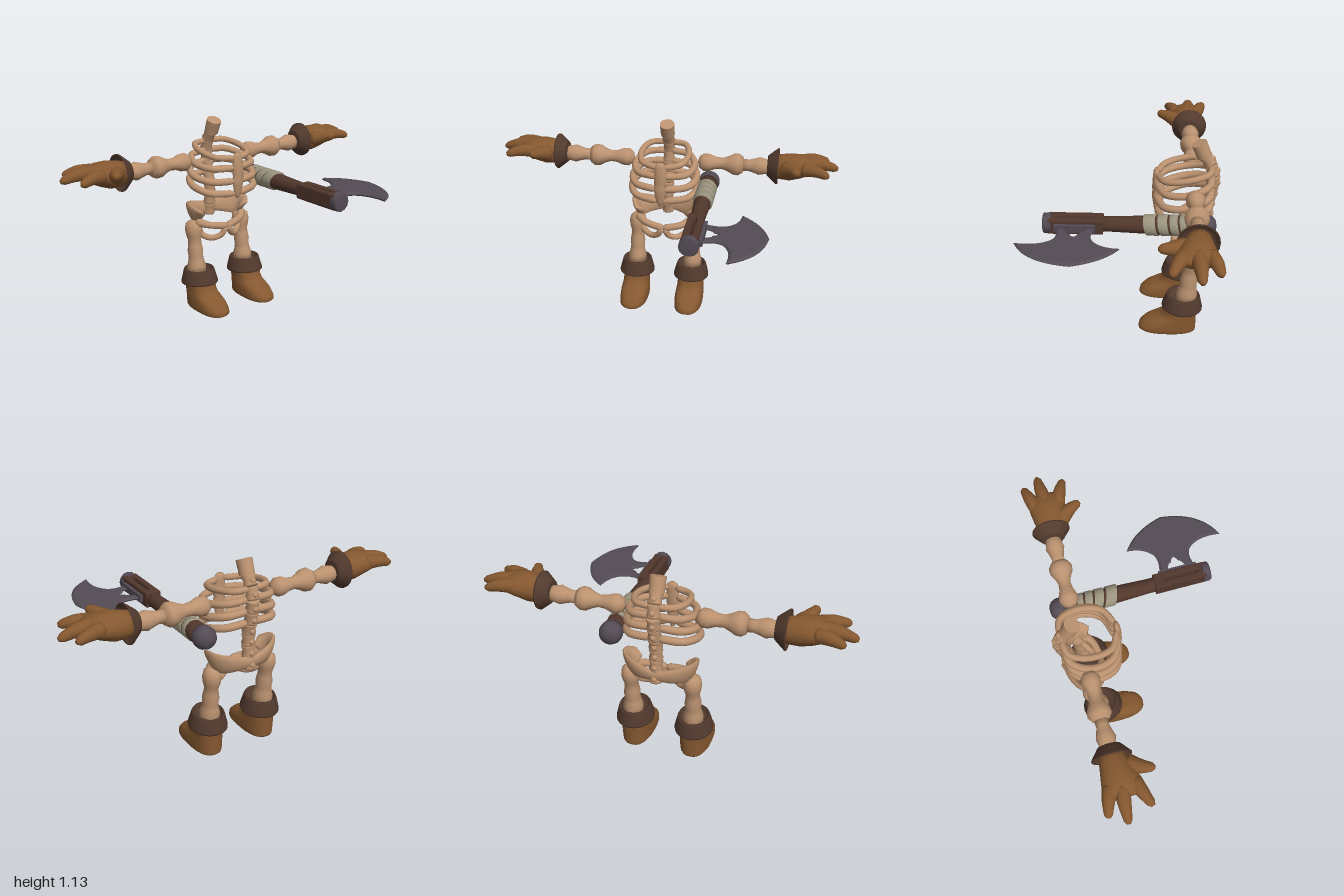
import * as THREE from 'three';

const mat = (name, color) => Object.assign(new THREE.MeshStandardMaterial({ color }), { name });
const BONE = mat('bone', 0xbb9270), LEATHER = mat('leather', 0x855830), CUFF = mat('darkLeather', 0x523a2e);
const WOOD = mat('wood', 0x51372c), WRAP = mat('wrap', 0x9b947f), METAL = mat('metal', 0x544b55);
const V = (x, y, z) => new THREE.Vector3(x, y, z);

// Skin a list of point rings, each counter-clockwise about the direction of travel
function loft(rings) {
  const n = rings[0].length, pos = [], idx = [];
  rings.forEach(r => r.forEach(p => pos.push(p.x, p.y, p.z)));
  for (let i = 0; i < rings.length - 1; i++) for (let j = 0; j < n; j++) {
    const k = (j + 1) % n, a = i * n + j, b = i * n + k;
    idx.push(a, b, a + n, b, b + n, a + n);
  }
  [0, rings.length - 1].forEach((ri, end) => {
    const c = pos.length / 3;
    const m = rings[ri].reduce((s, p) => s.add(p), V(0, 0, 0)).divideScalar(n);
    pos.push(m.x, m.y, m.z);
    for (let j = 0; j < n; j++) {
      const a = ri * n + j, b = ri * n + (j + 1) % n;
      end ? idx.push(a, b, c) : idx.push(b, a, c);
    }
  });
  const g = new THREE.BufferGeometry();
  g.setAttribute('position', new THREE.Float32BufferAttribute(pos, 3));
  g.setIndex(idx);
  g.computeVertexNormals();
  return g;
}

// Round tube with changing radius; each point is [x, y, z, radius]
function limb(pts, steps = 14, sides = 10, closed = false) {
  const curve = new THREE.CatmullRomCurve3(pts.map(p => V(p[0], p[1], p[2])));
  const rings = [];
  for (let i = 0; i <= steps; i++) {
    const t = i / steps, f = t * (pts.length - 1), k = Math.min(Math.floor(f), pts.length - 2);
    let r = THREE.MathUtils.lerp(pts[k][3], pts[k + 1][3], f - k);
    if (i === 0 || i === steps) r *= 0.55;
    const c = curve.getPoint(t), T = curve.getTangent(t);
    const N = V(0, 1, 0).addScaledVector(T, -T.y).normalize(), B = T.clone().cross(N);
    rings.push(Array.from({ length: sides }, (_, j) => {
      const a = j / sides * Math.PI * 2;
      return c.clone().addScaledVector(N, Math.cos(a) * r).addScaledVector(B, Math.sin(a) * r);
    }));
  }
  return loft(rings);
}

const lathe = (pts, sides = 18) => new THREE.LatheGeometry(pts.map(p => new THREE.Vector2(p[0], p[1])), sides);
const alongX = g => g.rotateZ(-Math.PI / 2);
const alongZ = g => g.rotateX(Math.PI / 2);

function mirror(g) {
  const m = (g.index ? g.toNonIndexed() : g.clone()).scale(-1, 1, 1);
  for (const a of Object.values(m.attributes)) {
    for (let i = 0; i < a.count; i += 3) for (let c = 0; c < a.itemSize; c++) {
      const t = a.getComponent(i, c);
      a.setComponent(i, c, a.getComponent(i + 1, c));
      a.setComponent(i + 1, c, t);
    }
  }
  // scale() already flips the normals' x through the normal matrix
  return m;
}

export function createModel() {
  const model = new THREE.Group();
  const add = (name, geo, material, parent = model) => {
    const m = new THREE.Mesh(geo, material);
    m.name = name;
    parent.add(m);
    return m;
  };
  const pair = (name, geo, material) => {
    add(name + 'Left', geo, material);
    add(name + 'Right', mirror(geo), material);
  };

  // Spine: one waisted vertebra per step, each with a rear knob
  const spine = new THREE.CatmullRomCurve3([V(0, 0.52, -0.495), V(0, 0.62, -0.482), V(0, 0.72, -0.48),
    V(0, 0.82, -0.497), V(0, 0.92, -0.505), V(0, 0.99, -0.483), V(0, 1.04, -0.453)]);
  for (let i = 0; i < 8; i++) {
    const t = (i + 0.5) / 8, g = new THREE.Group();
    g.name = 'vertebra';
    g.position.copy(spine.getPointAt(t));
    g.quaternion.setFromUnitVectors(V(0, 1, 0), spine.getTangentAt(t));
    add('vertebraBody', lathe([[0, -0.036], [0.034, -0.034], [0.038, -0.024], [0.031, 0], [0.038, 0.024], [0.034, 0.034], [0, 0.036]], 14), BONE, g);
    add('vertebraKnob', new THREE.SphereGeometry(0.017, 10, 8).translate(0, -0.008, -0.027), BONE, g);
    model.add(g);
  }
  const neck = add('neck', new THREE.CylinderGeometry(0.043, 0.041, 0.08, 18), BONE);
  neck.position.set(0, 1.073, -0.435);
  neck.rotation.x = 0.4;

  // Ribs: [side x, back y, side y, front y, front z, tube radius]
  [[0.14, 0.975, 0.955, 0.925, -0.2, 0.018], [0.175, 0.92, 0.885, 0.87, -0.195, 0.02],
    [0.19, 0.855, 0.815, 0.79, -0.195, 0.021], [0.195, 0.79, 0.755, 0.715, -0.2, 0.021]]
    .forEach(([x, yb, ys, yf, zf, r]) => pair('rib', limb([
      [0.015, yb, -0.495, r], [x * 0.72, (yb + ys) / 2 + 0.008, -0.475, r], [x, ys, -0.37, r],
      [x * 0.8, (ys + yf) / 2 - 0.008, -0.25, r], [0.02, yf, zf, r]], 20), BONE));
  add('sternum', limb([[0, 0.955, -0.2, 0.03], [0.001, 0.88, -0.194, 0.036], [0, 0.78, -0.194, 0.036], [0.001, 0.685, -0.205, 0.018]])
    .translate(0, 0, 0.194).scale(1, 1, 0.55).translate(0, 0, -0.194), BONE);

  // Pelvis: a curved, flared band, open at the front
  const band = [];
  for (let i = 0; i <= 28; i++) {
    const u = i / 14 - 1, a = u * 2.15, s = Math.abs(u), e = Math.max(0, s - 0.6) / 0.4;
    const side = Math.sin(Math.min(1, s * 1.25) * Math.PI / 2);
    const top = V(Math.sin(a) * 0.2, 0.59 + 0.048 * side - 0.04 * e * e, -0.41 - Math.cos(a) * (u * u > 0.5 ? 0.14 : 0.1));
    top.z = Math.min(top.z, -0.305);
    const low = V(Math.sin(a) * 0.155, 0.535 - 0.03 * side + 0.06 * e * e, -0.405 - Math.cos(a) * 0.095);
    const mid = top.clone().add(low).multiplyScalar(0.5), half = top.clone().sub(low).multiplyScalar(0.5);
    const inward = V(-Math.sin(a), 0, Math.cos(a));
    band.push(Array.from({ length: 12 }, (_, j) => {
      const q = j / 12 * Math.PI * 2;
      return mid.clone().addScaledVector(half, Math.cos(q) * 1.1).addScaledVector(inward, Math.sin(q) * 0.02);
    }));
  }
  add('pelvis', loft(band), BONE);
  pair('pubicBar', limb([[0.17, 0.525, -0.385, 0.028], [0.11, 0.505, -0.33, 0.021], [0, 0.485, -0.305, 0.022]]), BONE);
  pair('pubicLoop', limb([[0.01, 0.485, -0.302, 0.02], [0.035, 0.435, -0.315, 0.018], [0.085, 0.415, -0.345, 0.018],
    [0.135, 0.44, -0.38, 0.02], [0.16, 0.51, -0.4, 0.024]], 18), BONE);

  // Legs
  pair('leg', lathe([[0, 0.19], [0.058, 0.2], [0.06, 0.25], [0.05, 0.285], [0.046, 0.31], [0.05, 0.345], [0.044, 0.38],
    [0.041, 0.41], [0.05, 0.44], [0.056, 0.475], [0.05, 0.51], [0.03, 0.528], [0, 0.533]])
    .scale(0.92, 1, 1).rotateX(-0.09).translate(0.175, 0, -0.362), BONE);

  // Boots: stacked rings whose front edge draws back with height [y, front z, half width]
  const boot = [[0, -0.118, 0.078], [0.008, -0.11, 0.085], [0.03, -0.115, 0.086], [0.06, -0.145, 0.085], [0.082, -0.19, 0.083],
    [0.1, -0.23, 0.08], [0.125, -0.252, 0.08], [0.16, -0.264, 0.083], [0.2, -0.27, 0.083]].map(([y, zf, w]) =>
    Array.from({ length: 28 }, (_, j) => {
      const a = j / 28 * Math.PI * 2, p = v => Math.sign(v) * Math.abs(v) ** 0.8;
      return V(0.172 + w * p(Math.sin(a)), y, (zf - 0.444) / 2 + (zf + 0.444) / 2 * p(Math.cos(a)));
    }));
  pair('boot', loft(boot), LEATHER);
  pair('bootCuff', lathe([[0.08, 0.148], [0.108, 0.154], [0.108, 0.162], [0.09, 0.232], [0.086, 0.24], [0.076, 0.238], [0.07, 0.205], [0, 0.205]], 24)
    .scale(1, 1, 1.08).rotateX(-0.06).translate(0.172, 0, -0.35), CUFF);

  // Arms
  const arm = pts => alongX(lathe(pts.map(([x, r]) => [r, x]))).translate(0, 0.897, -0.4);
  pair('upperArm', arm([[0.19, 0], [0.198, 0.032], [0.225, 0.052], [0.26, 0.05], [0.295, 0.037], [0.335, 0.033], [0.37, 0.046],
    [0.4, 0.062], [0.43, 0.064], [0.455, 0.048], [0.465, 0]]), BONE);
  pair('forearm', arm([[0.445, 0], [0.455, 0.036], [0.49, 0.034], [0.52, 0.042], [0.55, 0.052], [0.58, 0.046], [0.62, 0.04], [0.64, 0]]), BONE);

  // Gloves: flared cuff, palm and four digits
  pair('gloveCuff', alongX(lathe([[0, 0.597], [0.058, 0.598], [0.066, 0.606], [0.105, 0.654], [0.104, 0.662], [0.097, 0.66], [0.075, 0.63], [0, 0.63]], 24))
    .translate(0, 0.905, -0.397), CUFF);
  const palm = [[0.62, 0.06, 0.062, 0.905, -0.4], [0.67, 0.072, 0.072, 0.905, -0.395], [0.73, 0.077, 0.088, 0.91, -0.388],
    [0.79, 0.064, 0.1, 0.92, -0.385], [0.84, 0.046, 0.1, 0.927, -0.385], [0.87, 0.022, 0.082, 0.928, -0.385]].map(([x, h, w, y, z]) =>
    Array.from({ length: 18 }, (_, j) => {
      const a = j / 18 * Math.PI * 2;
      return V(x, y + h * Math.cos(a), z + w * Math.sin(a));
    }));
  pair('palm', loft(palm), LEATHER);
  [['backFinger', [0.79, 0.93, -0.44, 0.042], [0.87, 0.935, -0.468, 0.034], [0.945, 0.92, -0.488, 0.02]],
    ['middleFinger', [0.8, 0.935, -0.385, 0.045], [0.9, 0.935, -0.395, 0.036], [0.998, 0.912, -0.4, 0.02]],
    ['frontFinger', [0.79, 0.925, -0.325, 0.042], [0.87, 0.93, -0.295, 0.034], [0.945, 0.915, -0.262, 0.02]],
    ['thumb', [0.7, 0.91, -0.34, 0.05], [0.745, 0.93, -0.27, 0.036], [0.77, 0.942, -0.205, 0.02]]]
    .forEach(([name, ...pts]) => pair(name, limb(pts, 10), LEATHER));

  // Axe: handle lies along z
  const axe = new THREE.Group();
  axe.name = 'axe';
  axe.position.set(0.255, 0.752, 0);
  model.add(axe);
  add('handle', alongZ(lathe([[0, -0.43], [0.055, -0.43], [0.055, -0.36], [0.051, -0.2], [0.045, -0.05], [0.041, 0.05], [0.042, 0.12], [0, 0.12]], 14)), WOOD, axe);

  // Slotted end of the handle
  const rect = (S, x, a, b) => new S([[-x, a], [x, a], [x, b], [-x, b]].map(p => new THREE.Vector2(...p)));
  const fork = rect(THREE.Shape, 0.037, 0.09, 0.37);
  fork.holes.push(new THREE.Path([[-0.006, 0.125], [0.006, 0.125], [0.016, 0.15], [0.016, 0.325], [0.006, 0.345], [-0.006, 0.345], [-0.016, 0.325], [-0.016, 0.15]]
    .map(p => new THREE.Vector2(...p))));
  add('handleFork', new THREE.ExtrudeGeometry(fork, { depth: 0.066, bevelSize: 0.008, bevelThickness: 0.012, bevelSegments: 2 })
    .rotateX(Math.PI / 2).translate(0, 0.033, 0), WOOD, axe);
  add('endCollar', alongZ(lathe([[0, 0.358], [0.05, 0.358], [0.055, 0.364], [0.055, 0.396], [0.049, 0.403], [0, 0.403]], 12)), METAL, axe);
  add('pommel', alongZ(lathe([[0, -0.517], [0.03, -0.512], [0.05, -0.497], [0.062, -0.472], [0.063, -0.445], [0.056, -0.422], [0, -0.42]])), METAL, axe);

  // Slanted grip bands
  [[-0.205, -0.145], [-0.27, -0.22], [-0.325, -0.283], [-0.37, -0.337]].forEach(([a, b]) => {
    const g = alongZ(lathe([[0.045, a], [0.059, a], [0.058, b], [0.045, b]], 18)), p = g.attributes.position;
    for (let i = 0; i < p.count; i++) p.setZ(i, p.getZ(i) + 0.25 * p.getY(i) + 0.18 * p.getX(i));
    g.computeVertexNormals();
    add('gripBand', g, WRAP, axe);
  });

  // Blade with two prongs, in the x-z plane
  const blade = new THREE.Shape();
  blade.moveTo(0.06, 0.13);
  blade.quadraticCurveTo(0.14, 0.155, 0.18, 0.125);
  blade.quadraticCurveTo(0.235, 0.08, 0.24, -0.012);
  blade.quadraticCurveTo(0.355, 0.06, 0.4, 0.23);
  blade.quadraticCurveTo(0.375, 0.46, 0.205, 0.53);
  blade.quadraticCurveTo(0.225, 0.4, 0.165, 0.34);
  blade.quadraticCurveTo(0.13, 0.31, 0.06, 0.335);
  blade.lineTo(0.06, 0.285);
  blade.quadraticCurveTo(0.105, 0.275, 0.105, 0.255);
  blade.quadraticCurveTo(0.165, 0.232, 0.105, 0.21);
  blade.quadraticCurveTo(0.105, 0.19, 0.06, 0.18);
  blade.closePath();
  add('blade', new THREE.ExtrudeGeometry(blade, { depth: 0.003, bevelSize: 0.012, bevelOffset: -0.012, bevelThickness: 0.009, bevelSegments: 1, curveSegments: 10 })
    .rotateX(Math.PI / 2).translate(0, 0.0015, 0), METAL, axe);
  add('bladeMount', new THREE.BoxGeometry(0.022, 0.042, 0.22).translate(0.053, 0, 0.232), METAL, axe);
  return model;
}
